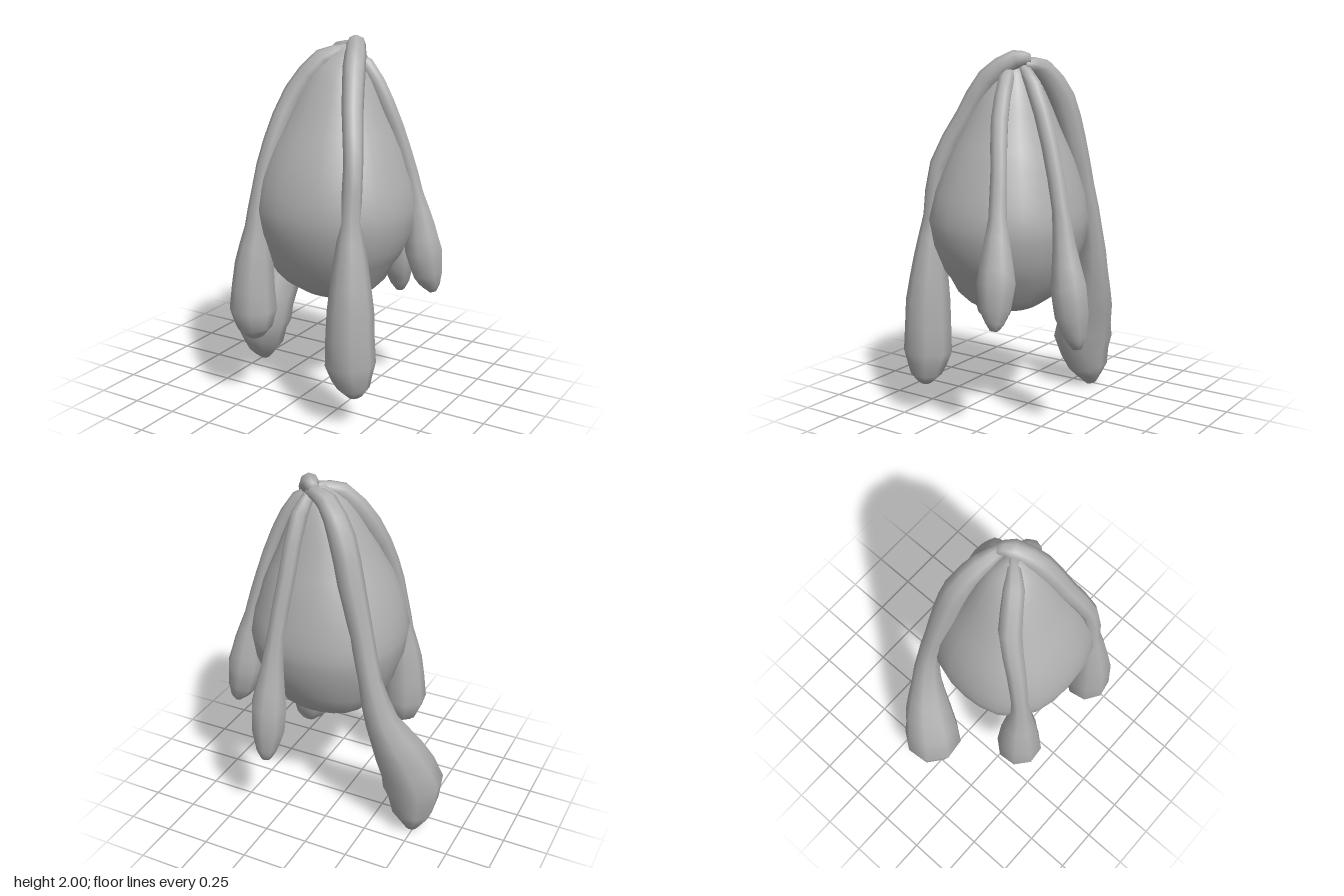
import * as THREE from 'three';

const grey = new THREE.MeshStandardMaterial({ color: 0xb0b0b0 });
grey.name = 'grey';

// Smooth closed skin around a path; each point is [x, y, z, radius].
// depth scales the z side, bulge swells the diagonals
function loft(points, sides, steps, depth = 1, bulge = 0) {
  const path = new THREE.CatmullRomCurve3(points.map(p => new THREE.Vector3(p[0], p[1], p[2])));
  const n = (points.length - 1) * steps;
  const pos = [], index = [];
  const u = new THREE.Vector3(0, 0, 1), v = new THREE.Vector3();
  for (let i = 0; i <= n; i++) {
    const c = path.getPoint(i / n), t = path.getTangent(i / n);
    u.addScaledVector(t, -u.dot(t)).normalize(); // carry the frame along without twist
    v.crossVectors(t, u);
    const k = Math.min(Math.floor(i / steps), points.length - 2);
    const radius = THREE.MathUtils.lerp(points[k][3], points[k + 1][3], i / steps - k);
    for (let j = 0; j < sides; j++) {
      const a = (j / sides) * Math.PI * 2;
      const r = radius * (1 + bulge * Math.sin(2 * a) ** 2);
      const p = c.clone().addScaledVector(u, depth * r * Math.cos(a)).addScaledVector(v, r * Math.sin(a));
      pos.push(p.x, p.y, p.z);
    }
  }
  for (let i = 0; i < n; i++) {
    for (let j = 0; j < sides; j++) {
      const a = i * sides + j, b = i * sides + (j + 1) % sides;
      index.push(a, b, a + sides, b, b + sides, a + sides);
    }
  }
  // Caps at both ends
  const first = points[0], last = points[points.length - 1];
  const s = pos.length / 3;
  pos.push(...first.slice(0, 3), ...last.slice(0, 3));
  for (let j = 0; j < sides; j++) {
    const k = (j + 1) % sides;
    index.push(s, k, j, s + 1, n * sides + j, n * sides + k);
  }
  const g = new THREE.BufferGeometry();
  g.setAttribute('position', new THREE.Float32BufferAttribute(pos, 3));
  g.setIndex(index);
  g.computeVertexNormals();
  return g;
}

// Egg-shaped body, bottom to top
const body = [
  [0.12, 0.60, 0.05, 0.06], [0.12, 0.62, 0.05, 0.17], [0.12, 0.69, 0.05, 0.27],
  [0.11, 0.82, 0.05, 0.355], [0.11, 0.97, 0.05, 0.41], [0.11, 1.10, 0.05, 0.428],
  [0.11, 1.25, 0.045, 0.40], [0.115, 1.42, 0.035, 0.34], [0.12, 1.60, 0.025, 0.255],
  [0.13, 1.78, 0.01, 0.17], [0.14, 1.88, 0, 0.10], [0.14, 1.94, 0, 0.035],
];

// Arms hanging from the top of the body, each swelling into a club
const arms = {
  frontLeftArm: [
    [0.13, 1.95, -0.10, 0.03], [0.18, 1.95, -0.04, 0.052], [0.245, 1.85, 0.09, 0.06],
    [0.30, 1.65, 0.20, 0.056], [0.375, 1.40, 0.32, 0.05], [0.385, 1.12, 0.36, 0.053],
    [0.395, 0.90, 0.375, 0.09], [0.405, 0.65, 0.39, 0.122], [0.41, 0.36, 0.395, 0.133],
    [0.43, 0.23, 0.395, 0.085], [0.43, 0.18, 0.395, 0.03],
  ],
  frontRightArm: [
    [0.15, 1.93, -0.01, 0.025], [0.05, 1.88, 0.08, 0.054], [-0.07, 1.70, 0.165, 0.061],
    [-0.14, 1.45, 0.27, 0.054], [-0.18, 1.20, 0.335, 0.048], [-0.19, 1.00, 0.355, 0.068],
    [-0.205, 0.80, 0.37, 0.105], [-0.21, 0.54, 0.38, 0.13], [-0.20, 0.43, 0.38, 0.095],
    [-0.19, 0.38, 0.38, 0.04],
  ],
  leftArm: [
    [0.14, 1.92, 0, 0.02], [0.25, 1.85, -0.03, 0.042], [0.355, 1.65, -0.06, 0.047],
    [0.435, 1.40, -0.11, 0.045], [0.49, 1.17, -0.14, 0.05], [0.52, 1.00, -0.155, 0.082],
    [0.54, 0.85, -0.165, 0.106], [0.565, 0.72, -0.175, 0.085], [0.585, 0.65, -0.185, 0.05],
    [0.595, 0.615, -0.185, 0.02],
  ],
  backArm: [
    [0.15, 1.92, -0.06, 0.025], [0.18, 1.82, -0.15, 0.045], [0.20, 1.52, -0.265, 0.047],
    [0.23, 1.20, -0.35, 0.047], [0.24, 1.02, -0.38, 0.064], [0.25, 0.80, -0.415, 0.10],
    [0.25, 0.66, -0.435, 0.095], [0.25, 0.54, -0.46, 0.06], [0.25, 0.48, -0.47, 0.025],
  ],
  backRightArm: [
    [0.16, 1.93, -0.08, 0.03], [0.04, 1.90, -0.12, 0.055], [-0.07, 1.74, -0.17, 0.071],
    [-0.135, 1.52, -0.20, 0.071], [-0.21, 1.25, -0.225, 0.062], [-0.27, 1.00, -0.245, 0.062],
    [-0.33, 0.75, -0.22, 0.09], [-0.41, 0.53, -0.15, 0.14], [-0.47, 0.30, -0.08, 0.172],
    [-0.485, 0.11, -0.11, 0.115], [-0.49, 0.01, -0.13, 0.03],
  ],
};

export function createModel() {
  const model = new THREE.Group();
  const add = (name, geometry) => {
    const mesh = new THREE.Mesh(geometry, grey);
    mesh.name = name;
    model.add(mesh);
  };
  add('body', loft(body, 24, 2, 0.95, 0.06));
  for (const [name, points] of Object.entries(arms)) add(name, loft(points, 8, 2));
  return model;
}
